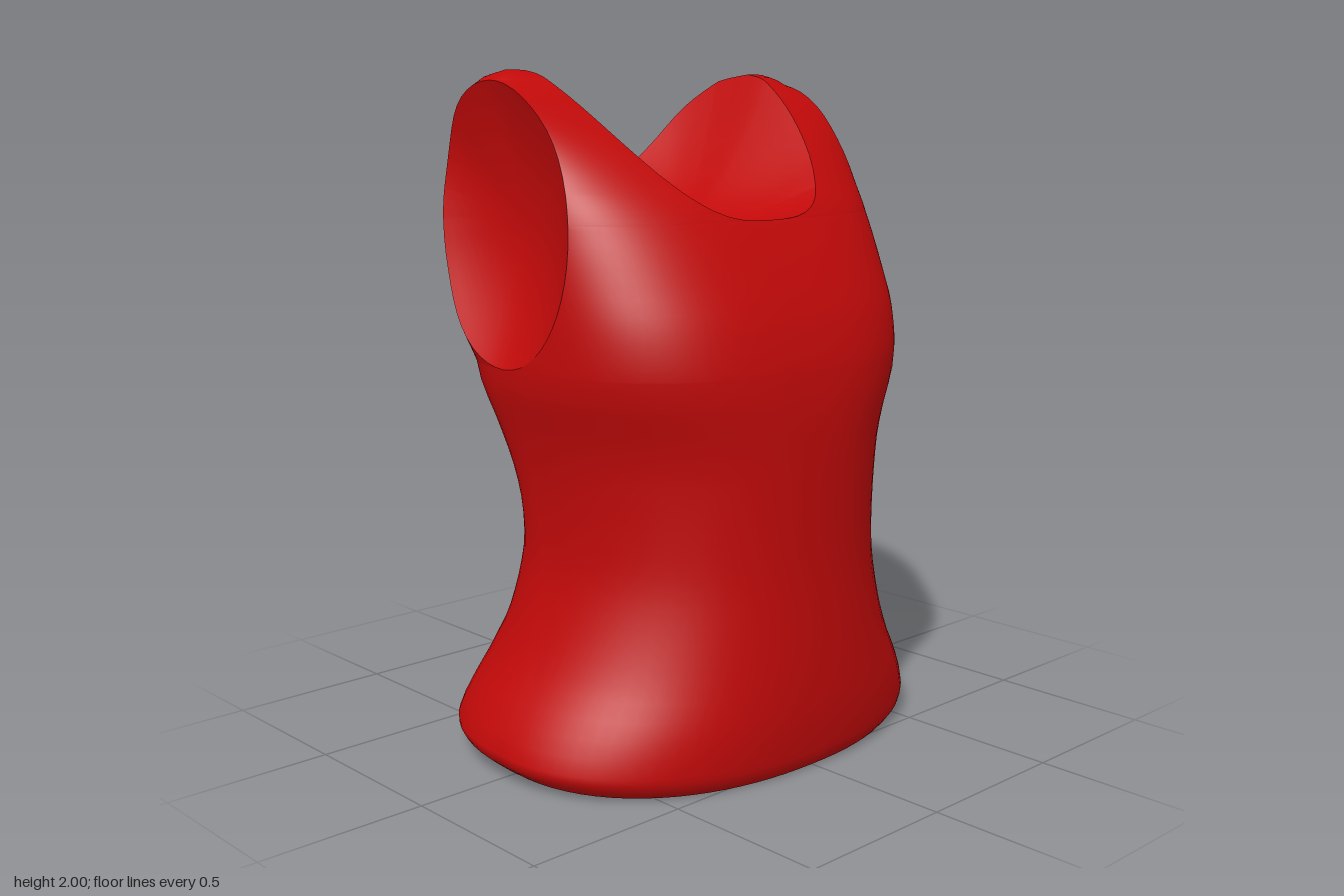
import * as THREE from 'three';
import { mergeVertices } from 'three/addons/utils/BufferGeometryUtils.js';

const { smoothstep } = THREE.MathUtils;

// Smooth interpolation through [y, value] pairs
function curve(pts) {
  const slope = (i) => {
    const a = pts[Math.max(i - 1, 0)], b = pts[Math.min(i + 1, pts.length - 1)];
    return (b[1] - a[1]) / (b[0] - a[0]);
  };
  return (y) => {
    let i = 0;
    while (i < pts.length - 2 && y > pts[i + 1][0]) i++;
    const h = pts[i + 1][0] - pts[i][0];
    const t = Math.min(1, Math.max(0, (y - pts[i][0]) / h)), t2 = t * t, t3 = t2 * t;
    return (2 * t3 - 3 * t2 + 1) * pts[i][1] + (t3 - 2 * t2 + t) * h * slope(i)
      + (3 * t2 - 2 * t3) * pts[i + 1][1] + (t3 - t2) * h * slope(i + 1);
  };
}

// Outlines by height: half width, front depth, back depth
const halfWidth = curve([[0, 0.7], [0.03, 0.735], [0.07, 0.747], [0.18, 0.7], [0.3, 0.63], [0.43, 0.58],
  [0.57, 0.55], [0.7, 0.55], [0.85, 0.568], [1, 0.603], [1.13, 0.638], [1.25, 0.635], [1.58, 0.6],
  [1.8, 0.577], [1.95, 0.583], [1.975, 0.575], [2, 0.52]]);
const frontZ = curve([[0, 0.54], [0.03, 0.56], [0.2, 0.575], [0.6, 0.56], [1, 0.558], [1.15, 0.545],
  [1.27, 0.515], [1.37, 0.475], [1.58, 0.355], [1.7, 0.24], [1.8, 0.135], [1.9, 0.015], [1.97, -0.09],
  [1.99, -0.135], [2, -0.19]]);
const backZ = curve([[0, -0.55], [0.03, -0.572], [0.07, -0.575], [0.2, -0.525], [0.3, -0.48], [0.4, -0.42],
  [0.55, -0.365], [0.65, -0.325], [0.77, -0.312], [0.9, -0.33], [1.1, -0.39], [1.25, -0.43], [1.4, -0.46],
  [1.65, -0.488], [1.8, -0.455], [1.9, -0.41], [1.98, -0.31], [1.99, -0.265], [2, -0.19]]);

const ARM_LOW = 1.17, ARM_HIGH = 1.97, NECK_FRONT = 1.58, NECK_BACK = 1.63;

// Side seam, continued up the middle of the armhole
const seamZ = (y) => (y <= ARM_LOW ? 0.03 - 0.095 * y / ARM_LOW : -0.065 - 0.15 * (y - ARM_LOW));

// Half the armhole's width at a height
function armGap(y) {
  const t = (y - 1.57) / 0.4;
  return 0.305 * Math.sqrt(Math.max(0, 1 - t * t));
}

// Inner edge of a panel: centre line below the neckline, neckline above
function neckX(y, dir) {
  const low = dir > 0 ? NECK_FRONT : NECK_BACK;
  return y <= low ? 0 : 0.455 * Math.pow((y - low) / (2 - low), dir > 0 ? 0.32 : 0.53);
}

// Outer edge of a panel; the back is a little narrower beside the armhole
function outerX(y, dir) {
  const inset = dir < 0 ? 0.025 * smoothstep(y, ARM_LOW, 1.45) * (1 - smoothstep(y, 1.7, ARM_HIGH)) : 0;
  return halfWidth(y) - inset;
}

// Point on the front (dir 1) or back (dir -1) panel; u runs from inner to outer edge
function panelPoint(y, u, dir) {
  const xi = neckX(y, dir), xo = outerX(y, dir), mid = seamZ(y);
  const x = xi + (xo - xi) * Math.sin(u * Math.PI / 2);
  const n = 2.25 + (dir > 0 ? 0.75 * smoothstep(y, 0.9, 1.35) : 0.6 * smoothstep(y, 0.7, 1.3));
  // superellipse arc through the panel's inner and outer edges
  const inner = Math.max(1e-6, dir * ((dir > 0 ? frontZ(y) : backZ(y)) - mid)) ** n;
  const outer = armGap(y) ** n;
  const det = xi ** n * outer - inner * xo ** n;
  const a = (outer - inner) / det, b = (xi ** n - xo ** n) / det;
  let z = mid + dir * Math.max(0, (1 - a * x ** n) / b) ** (1 / n);
  // hollow along the spine
  if (dir < 0) {
    const fade = smoothstep(y, 0.7, 1.1) * (1 - smoothstep(y, 1.6, 1.85));
    z += 0.03 * Math.exp(-((x / 0.16) ** 2)) * fade;
  }
  // hem rises towards the back
  const lift = 0.04 * (0.55 - z) / 1.1 * Math.max(0, 1 - y / 0.25);
  return new THREE.Vector3(x, y + lift, z);
}

// Row heights, closer together where edges curve quickly
function rowHeights() {
  const ys = [0, 0.012, 0.03, 0.05, 0.07];
  for (let i = 1; i <= 22; i++) ys.push(0.07 + (ARM_LOW - 0.07) * i / 22);
  for (let i = 1; i <= 26; i++) ys.push(ARM_LOW + 0.4 * (1 - Math.cos(Math.PI * i / 26)));
  for (const low of [NECK_FRONT, NECK_BACK]) for (const d of [0, 0.0015, 0.006, 0.015, 0.03]) ys.push(low + d);
  ys.push(1.98, 1.99, 1.996, 2);
  ys.sort((a, b) => a - b);
  return ys.filter((y, i) => i === 0 || y - ys[i - 1] > 1e-5);
}

function fromTriangles(points) {
  const g = new THREE.BufferGeometry().setFromPoints(points);
  const merged = mergeVertices(g, 1e-4);
  merged.computeVertexNormals();
  return merged;
}

// Four mirrored quarter panels welded into one garment surface
function bodyGeometry(ys) {
  const tris = [], cols = 20;
  for (const dir of [1, -1]) {
    const rows = ys.map((y) => Array.from({ length: cols + 1 }, (_, j) => panelPoint(y, j / cols, dir)));
    for (const side of [1, -1]) {
      const at = (i, j) => rows[i][j].clone().multiply(new THREE.Vector3(side, 1, 1));
      for (let i = 0; i < ys.length - 1; i++) {
        for (let j = 0; j < cols; j++) {
          const a = at(i, j), b = at(i, j + 1), c = at(i + 1, j + 1), d = at(i + 1, j);
          if (side * dir > 0) tris.push(a, b, c, a, c, d);
          else tris.push(a, c, b, a, d, c);
        }
      }
    }
  }
  return fromTriangles(tris);
}

// Dished surface filling a closed rim; the given axis follows a bowl curve
function bowlGeometry(rim, centre, axis, flip) {
  const tris = [], rings = 12;
  const at = (k, i) => {
    const r = k / rings, e = rim[i % rim.length];
    const p = centre.clone().lerp(e, r);
    p[axis] = centre[axis] + (e[axis] - centre[axis]) * r * r;
    return p;
  };
  for (let k = 0; k < rings; k++) {
    for (let i = 0; i < rim.length; i++) {
      const a = at(k, i), b = at(k + 1, i), c = at(k + 1, i + 1), d = at(k, i + 1);
      const list = [a, b, c];
      if (k > 0) list.push(a, c, d);
      for (let t = 0; t < list.length; t += 3) {
        if (flip) tris.push(list[t], list[t + 2], list[t + 1]);
        else tris.push(list[t], list[t + 1], list[t + 2]);
      }
    }
  }
  return fromTriangles(tris);
}

export function createModel() {
  const group = new THREE.Group();
  group.name = 'tankTop';
  const red = new THREE.MeshStandardMaterial({ color: 0xc20909, side: THREE.DoubleSide });
  red.name = 'red fabric';
  const add = (name, geometry) => {
    const mesh = new THREE.Mesh(geometry, red);
    mesh.name = name;
    group.add(mesh);
  };
  const mirror = (p) => new THREE.Vector3(-p.x, p.y, p.z);
  const ys = rowHeights();
  add('body', bodyGeometry(ys));

  // Armhole linings
  const armYs = ys.filter((y) => y >= ARM_LOW - 1e-6 && y <= ARM_HIGH + 1e-6);
  const armRim = [
    ...armYs.map((y) => panelPoint(y, 1, 1)),
    ...armYs.slice(1, -1).reverse().map((y) => panelPoint(y, 1, -1)),
  ];
  const armCentre = new THREE.Vector3(0.51, 1.57, -0.125);
  add('leftArmholeLining', bowlGeometry(armRim, armCentre, 'x', true));
  add('rightArmholeLining', bowlGeometry(armRim.map(mirror), mirror(armCentre), 'x', false));

  // Neck lining, a shallow saddle between the straps
  const neckHalf = [
    ...ys.filter((y) => y >= NECK_FRONT - 1e-6).map((y) => panelPoint(y, 0, 1)),
    ...ys.filter((y) => y >= NECK_BACK - 1e-6 && y < 2).reverse().map((y) => panelPoint(y, 0, -1)),
  ];
  const neckRim = [...neckHalf, ...neckHalf.slice(1, -1).reverse().map(mirror)];
  add('neckLining', bowlGeometry(neckRim, new THREE.Vector3(0, 1.55, -0.07), 'y', false));

  // Closed underside
  const hem = [];
  for (let j = 0; j <= 20; j++) hem.push(panelPoint(0, j / 20, 1));
  for (let j = 19; j >= 0; j--) hem.push(panelPoint(0, j / 20, -1));
  const hemRim = [...hem, ...hem.slice(1, -1).reverse().map(mirror)];
  add('underside', bowlGeometry(hemRim, new THREE.Vector3(0, 0.012, 0), 'y', true));
  return group;
}
